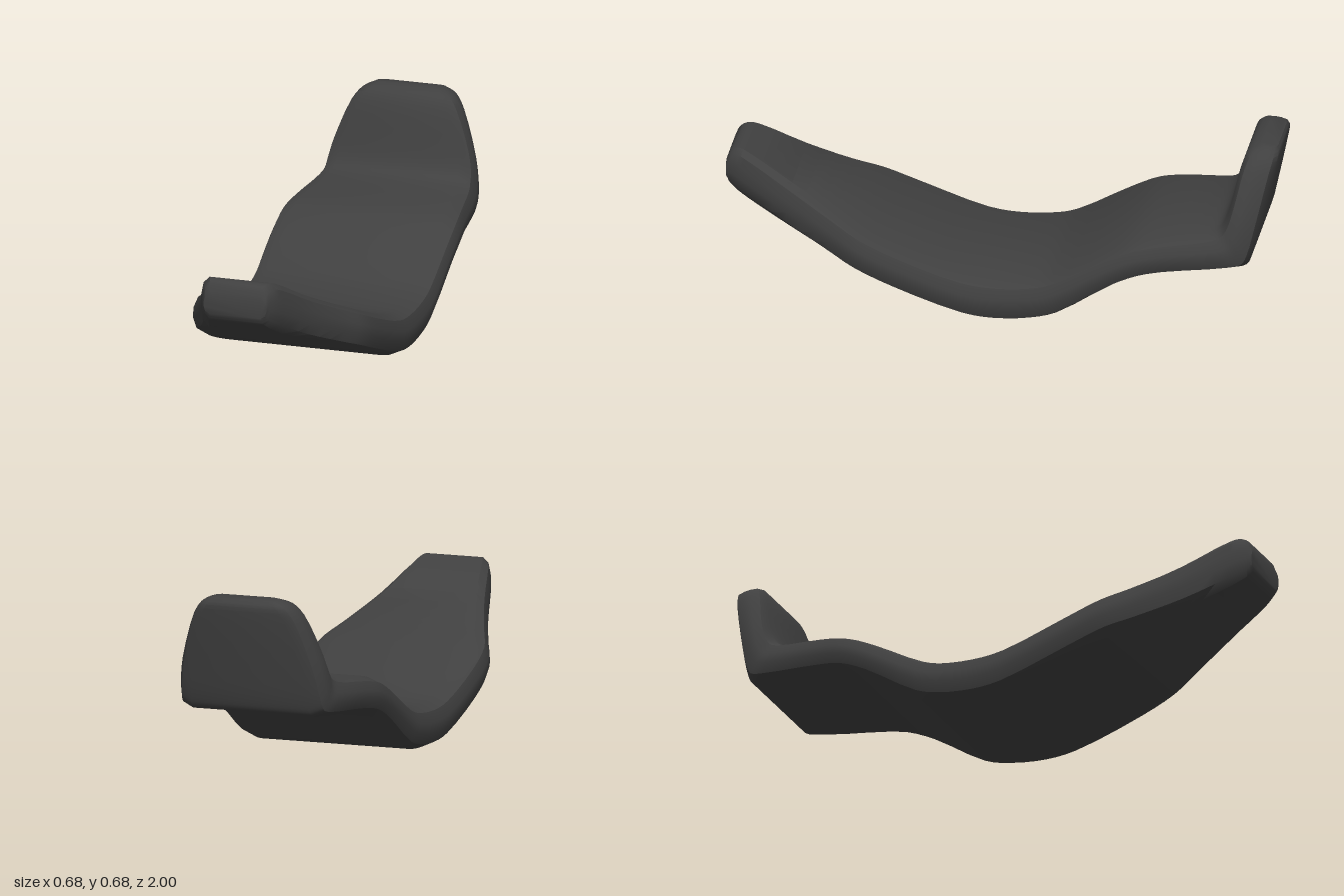
import * as THREE from 'three';
import { toCreasedNormals } from 'three/addons/utils/BufferGeometryUtils.js';

// Stations from nose to back rest: [half width, top z, top y, bottom z, bottom y]
const STATIONS = [
  [0.118, 0.998, 0.47, 0.998, 0.4],
  [0.124, 0.98, 0.508, 0.99, 0.383],
  [0.138, 0.95, 0.52, 0.965, 0.362],
  [0.155, 0.91, 0.508, 0.92, 0.335],
  [0.21, 0.75, 0.425, 0.77, 0.262],
  [0.28, 0.59, 0.348, 0.61, 0.195],
  [0.325, 0.49, 0.303, 0.51, 0.155],
  [0.34, 0.36, 0.25, 0.37, 0.1],
  [0.341, 0.12, 0.169, 0.11, 0.013],
  [0.341, 0, 0.156, 0, 0.001],
  [0.341, -0.13, 0.165, -0.13, 0.012],
  [0.341, -0.21, 0.186, -0.22, 0.038],
  [0.341, -0.4, 0.287, -0.42, 0.162],
  [0.338, -0.5, 0.332, -0.52, 0.206],
  [0.325, -0.6, 0.352, -0.61, 0.222],
  [0.298, -0.76, 0.374, -0.85, 0.243],
  [0.288, -0.8, 0.392, -0.9, 0.255],
  [0.283, -0.822, 0.425, -0.918, 0.29],
  [0.265, -0.842, 0.49, -0.945, 0.4],
  [0.207, -0.872, 0.617, -0.987, 0.59],
  [0.17, -0.895, 0.659, -0.998, 0.645],
  [0.125, -0.935, 0.677, -0.992, 0.668],
];

// Bevelled half section: [inset from the side, height through the thickness]
const BEVEL = [[0.06, 0], [0.015, 0.13], [0, 0.38], [0, 0.62], [0.015, 0.87], [0.06, 1]];
const STEPS = 3;

function padGeometry() {
  const top = new THREE.CatmullRomCurve3(STATIONS.map(([w, z, y]) => new THREE.Vector3(w, y, z)));
  const bottom = new THREE.CatmullRomCurve3(STATIONS.map(([w, , , z, y]) => new THREE.Vector3(w, y, z)));
  const rings = (STATIONS.length - 1) * STEPS;
  const n = BEVEL.length * 2;
  const positions = [];
  const index = [];

  for (let i = 0; i <= rings; i++) {
    const a = bottom.getPoint(i / rings);
    const b = top.getPoint(i / rings);
    const w = STATIONS.length && b.x;
    const inset = Math.min(1, w / 0.3);
    const right = BEVEL.map(([d, t]) => [w - d * inset, t]);
    const left = right.map(([x, t]) => [-x, t]).reverse();
    for (const [x, t] of [...right, ...left]) {
      positions.push(x, a.y + (b.y - a.y) * t, a.z + (b.z - a.z) * t);
    }
  }

  // Skin between neighbouring sections
  for (let i = 0; i < rings; i++) {
    for (let j = 0; j < n; j++) {
      const a = i * n + j;
      const b = i * n + (j + 1) % n;
      index.push(a, a + n, b + n, a, b + n, b);
    }
  }

  // Flat end caps
  const last = rings * n;
  for (let j = 1; j < n - 1; j++) {
    index.push(0, j, j + 1);
    index.push(last, last + j + 1, last + j);
  }

  const geometry = new THREE.BufferGeometry();
  geometry.setAttribute('position', new THREE.Float32BufferAttribute(positions, 3));
  geometry.setIndex(index);
  return toCreasedNormals(geometry, 0.62);
}

export function createModel() {
  const group = new THREE.Group();
  group.name = 'seat';

  const darkGrey = new THREE.MeshStandardMaterial({ color: 0x404040 });
  darkGrey.name = 'dark grey upholstery';

  // One continuous pad: narrow nose, dipped saddle and upturned back rest
  const pad = new THREE.Mesh(padGeometry(), darkGrey);
  pad.name = 'seatPad';
  group.add(pad);
  return group;
}
